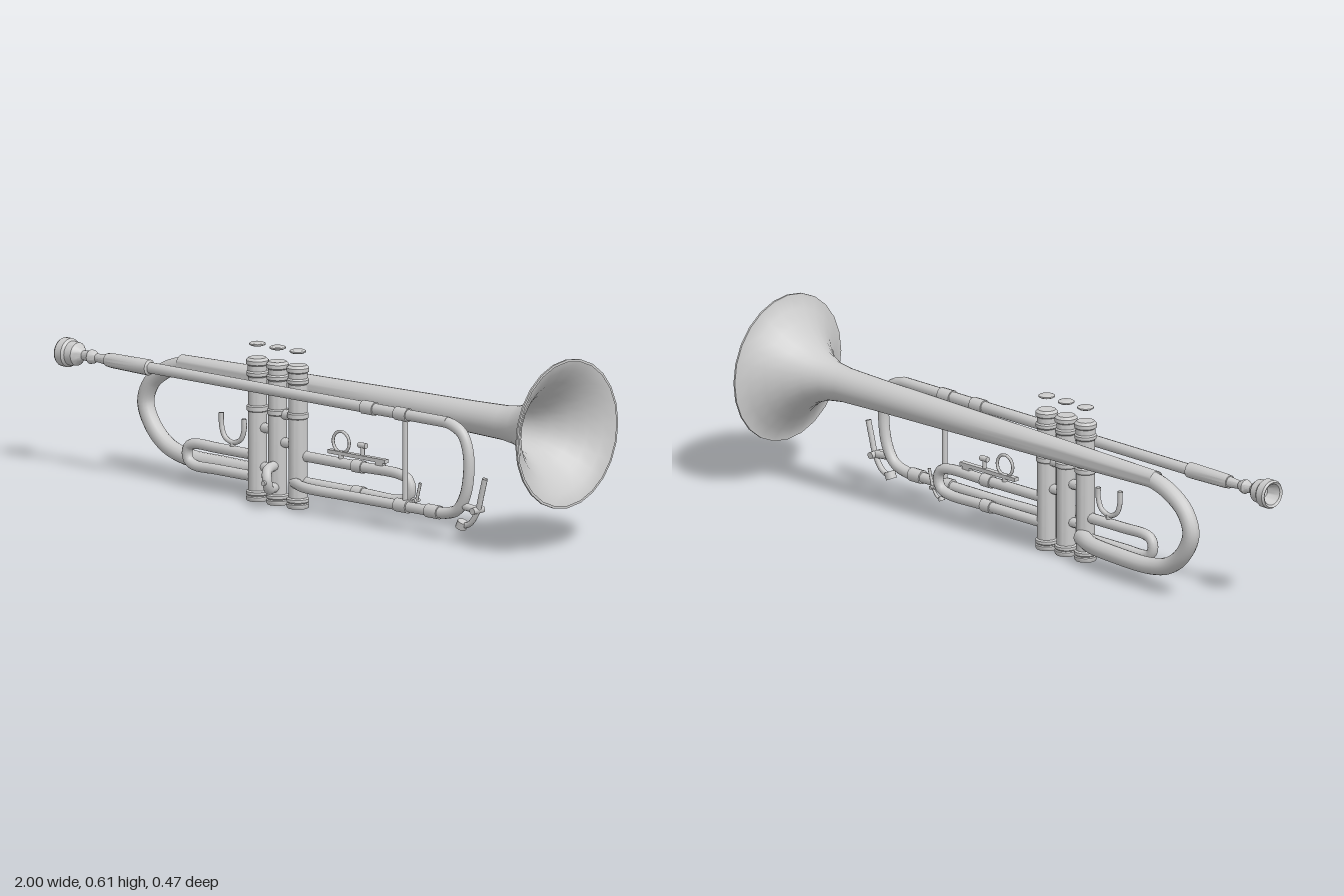
import * as THREE from 'three';
import { toCreasedNormals } from 'three/addons/utils/BufferGeometryUtils.js';

const metal = new THREE.MeshStandardMaterial({ color: 0xcccccc, side: THREE.DoubleSide });
const BELL_Z = -0.003, LEAD_Z = 0.132, VALVE_Z = 0.078;
const V = (p) => new THREE.Vector3(...p);

export function createModel() {
  const model = new THREE.Group();

  function add(name, geometry, x = 0, y = 0, z = 0, parent = model) {
    const mesh = new THREE.Mesh(geometry, metal);
    mesh.name = name;
    mesh.position.set(x, y, z);
    parent.add(mesh);
    return mesh;
  }
  // Turned part: profile is [radius, height] pairs
  function turned(profile, sides, crease = 0.6) {
    const points = profile.map(([r, h]) => new THREE.Vector2(r, h));
    return toCreasedNormals(new THREE.LatheGeometry(points, sides), crease);
  }
  // Turned part lying along x
  const turnedX = (profile, sides, crease) => turned(profile, sides, crease).rotateZ(-Math.PI / 2);
  // Bent pipe through a few points
  function pipe(name, pts, r, segments = 40, sides = 12, parent = model) {
    const curve = new THREE.CatmullRomCurve3(pts.map(V), false, 'centripetal');
    return add(name, new THREE.TubeGeometry(curve, segments, r, sides), 0, 0, 0, parent);
  }
  // Straight closed rod between two points
  function rod(name, a, b, r, sides = 10, parent = model) {
    const from = V(a), to = V(b), dir = to.clone().sub(from);
    const mesh = add(name, new THREE.CylinderGeometry(r, r, dir.length(), sides), 0, 0, 0, parent);
    mesh.position.copy(from).addScaledVector(dir, 0.5);
    mesh.quaternion.setFromUnitVectors(new THREE.Vector3(0, 1, 0), dir.normalize());
    return mesh;
  }

  // Bell: long taper that flares to a rim
  const bell = add('bell', turnedX([
    [0.028, -0.62], [0.037, -0.2], [0.044, 0.2], [0.051, 0.6], [0.055, 0.74], [0.063, 0.8],
    [0.083, 0.855], [0.118, 0.905], [0.155, 0.945], [0.195, 0.975], [0.23, 0.993],
    [0.237, 0.994], [0.237, 1], [0.229, 1],
  ], 24, 0.8), 0, 0.37, BELL_Z);
  bell.rotation.z = 0.004;

  // Rear bow from the bell down to the first valve
  pipe('bellBow', [
    [-0.56, 0.368, BELL_Z], [-0.62, 0.362, BELL_Z], [-0.69, 0.335, BELL_Z], [-0.747, 0.29, BELL_Z],
    [-0.772, 0.225, BELL_Z], [-0.74, 0.155, 0], [-0.675, 0.1, 0.004],
    [-0.59, 0.076, 0.008], [-0.42, 0.074, 0.014], [-0.3, 0.076, 0.03], [-0.23, 0.08, 0.06],
  ], 0.027, 60, 14);

  // Mouthpiece with hollow cup, and the receiver behind it
  add('mouthpiece', turnedX([
    [0, -0.945], [0.02, -0.955], [0.034, -0.995], [0.041, -1], [0.046, -0.993], [0.046, -0.968],
    [0.039, -0.96], [0.037, -0.935], [0.025, -0.921], [0.015, -0.91], [0.017, -0.89],
    [0.023, -0.88], [0.021, -0.868], [0.013, -0.855], [0.018, -0.8],
  ], 20), 0, 0.373, LEAD_Z);
  add('receiver', turnedX([
    [0, -0.81], [0.021, -0.81], [0.023, -0.79], [0.025, -0.66], [0.025, -0.635], [0.018, -0.63],
  ], 14), 0, 0.373, LEAD_Z);

  // Leadpipe, front tuning bow and return into the third valve
  rod('leadpipe', [-0.64, 0.373, LEAD_Z], [0.62, 0.378, LEAD_Z], 0.018, 12);
  pipe('tuningBow', [
    [0.58, 0.378, LEAD_Z], [0.63, 0.375, LEAD_Z], [0.68, 0.35, LEAD_Z], [0.703, 0.3, LEAD_Z],
    [0.707, 0.23, LEAD_Z], [0.692, 0.155, LEAD_Z], [0.66, 0.105, LEAD_Z],
    [0.61, 0.087, LEAD_Z], [0.56, 0.085, LEAD_Z],
  ], 0.018);
  pipe('returnPipe', [
    [0.58, 0.085, LEAD_Z], [0.2, 0.083, LEAD_Z], [0.02, 0.083, LEAD_Z], [-0.06, 0.083, 0.095],
  ], 0.017);
  for (const [x, y] of [[0.29, 0.377], [0.43, 0.377], [0.43, 0.085], [0.56, 0.085]])
    rod('slideFerrule', [x - 0.025, y, LEAD_Z], [x + 0.025, y, LEAD_Z], 0.022, 12);
  rod('tuningBrace', [0.44, 0.375, LEAD_Z], [0.44, 0.085, LEAD_Z], 0.009);

  // Valves with caps, rings and floating finger buttons
  const valveX = [-0.23, -0.145, -0.06];
  for (const x of valveX) {
    const valve = new THREE.Group();
    valve.name = 'valve';
    valve.position.set(x, 0, VALVE_Z);
    model.add(valve);
    add('valveCasing', turned([
      [0, 0], [0.033, 0], [0.036, 0.006], [0.036, 0.014], [0.033, 0.017], [0.036, 0.021],
      [0.036, 0.03], [0.03, 0.034], [0.03, 0.285], [0.034, 0.288], [0.034, 0.302], [0.03, 0.306],
      [0.03, 0.395], [0.035, 0.4], [0.035, 0.41], [0.031, 0.415], [0.031, 0.432], [0.036, 0.436],
      [0.036, 0.448], [0.028, 0.456], [0.01, 0.456], [0, 0.456],
    ], 18), 0, 0, 0, valve);
    add('fingerButton', turned([
      [0, 0.494], [0.02, 0.494], [0.026, 0.497], [0.026, 0.501], [0.02, 0.504], [0, 0.503],
    ], 16), 0, 0, 0, valve);
  }
  // Short passages joining neighbouring valves
  for (const [i, y] of [[0, 0.235], [1, 0.2], [0, 0.11], [1, 0.29]])
    rod('valvePassage', [valveX[i], y, VALVE_Z], [valveX[i + 1], y, VALVE_Z], 0.016);

  // First valve slide, rear, with a thumb saddle
  pipe('firstSlide', [
    [-0.23, 0.142, VALVE_Z], [-0.4, 0.142, VALVE_Z], [-0.49, 0.142, VALVE_Z], [-0.517, 0.132, VALVE_Z],
    [-0.526, 0.108, VALVE_Z], [-0.517, 0.084, VALVE_Z], [-0.49, 0.073, VALVE_Z],
    [-0.4, 0.073, VALVE_Z], [-0.23, 0.073, VALVE_Z],
  ], 0.017, 60);
  pipe('thumbSaddle', [
    [-0.382, 0.258, VALVE_Z], [-0.38, 0.215, VALVE_Z], [-0.366, 0.182, VALVE_Z], [-0.333, 0.169, VALVE_Z],
    [-0.3, 0.182, VALVE_Z], [-0.286, 0.215, VALVE_Z], [-0.286, 0.25, VALVE_Z],
  ], 0.008, 30, 8);
  rod('saddlePost', [-0.333, 0.17, VALVE_Z], [-0.333, 0.145, VALVE_Z], 0.009);

  // Second valve slide, a short loop toward the front
  pipe('secondSlide', [
    [-0.145, 0.125, 0.08], [-0.13, 0.125, 0.13], [-0.118, 0.118, 0.158], [-0.108, 0.09, 0.168],
    [-0.112, 0.064, 0.156], [-0.126, 0.058, 0.13], [-0.145, 0.058, 0.08],
  ], 0.016);
  rod('secondSlideKnob', [-0.108, 0.088, 0.17], [-0.106, 0.088, 0.19], 0.008);

  // Third valve slide, front, with ring, stop and drain key
  const SZ = 0.07;
  pipe('thirdSlide', [
    [-0.06, 0.166, SZ], [0.2, 0.166, SZ], [0.36, 0.166, SZ], [0.395, 0.155, SZ],
    [0.408, 0.125, SZ], [0.395, 0.094, SZ], [0.36, 0.083, SZ], [0.2, 0.083, SZ], [-0.06, 0.083, SZ],
  ], 0.017, 60);
  for (const y of [0.166, 0.083])
    rod('thirdSlideFerrule', [0.17, y, SZ], [0.21, y, SZ], 0.021, 12);
  add('fingerRing', new THREE.TorusGeometry(0.034, 0.005, 8, 24), 0.115, 0.233, SZ);
  rod('ringPost', [0.115, 0.2, SZ], [0.115, 0.175, SZ], 0.009);
  add('stopRail', new THREE.BoxGeometry(0.24, 0.012, 0.018), 0.185, 0.198, SZ);
  add('railFoot', new THREE.BoxGeometry(0.03, 0.03, 0.016), 0.28, 0.185, SZ);
  rod('stopScrew', [0.205, 0.2, SZ], [0.205, 0.232, SZ], 0.007);
  rod('stopScrewHead', [0.19, 0.235, SZ], [0.22, 0.235, SZ], 0.009);

  // Drain keys: pivoted lever, crossbar and cork cup
  function drainKey(x, y, z, s) {
    const key = new THREE.Group();
    key.name = 'drainKey';
    key.position.set(x, y, z);
    key.scale.setScalar(s);
    model.add(key);
    pipe('drainLever', [[-0.045, -0.03, 0], [-0.01, -0.015, 0], [0.02, 0.03, 0], [0.035, 0.08, 0], [0.05, 0.135, 0]],
      0.009, 24, 8, key);
    rod('drainPivot', [0.018, 0.03, -0.025], [0.018, 0.03, 0.025], 0.011, 10, key);
    rod('drainArm', [-0.035, 0.035, 0], [0.018, 0.03, 0], 0.012, 10, key);
    rod('drainCup', [-0.052, -0.036, 0], [-0.042, -0.014, 0], 0.018, 12, key);
  }
  drainKey(0.725, 0.085, LEAD_Z, 1);
  drainKey(0.42, 0.075, SZ, 0.55);

  return model;
}
